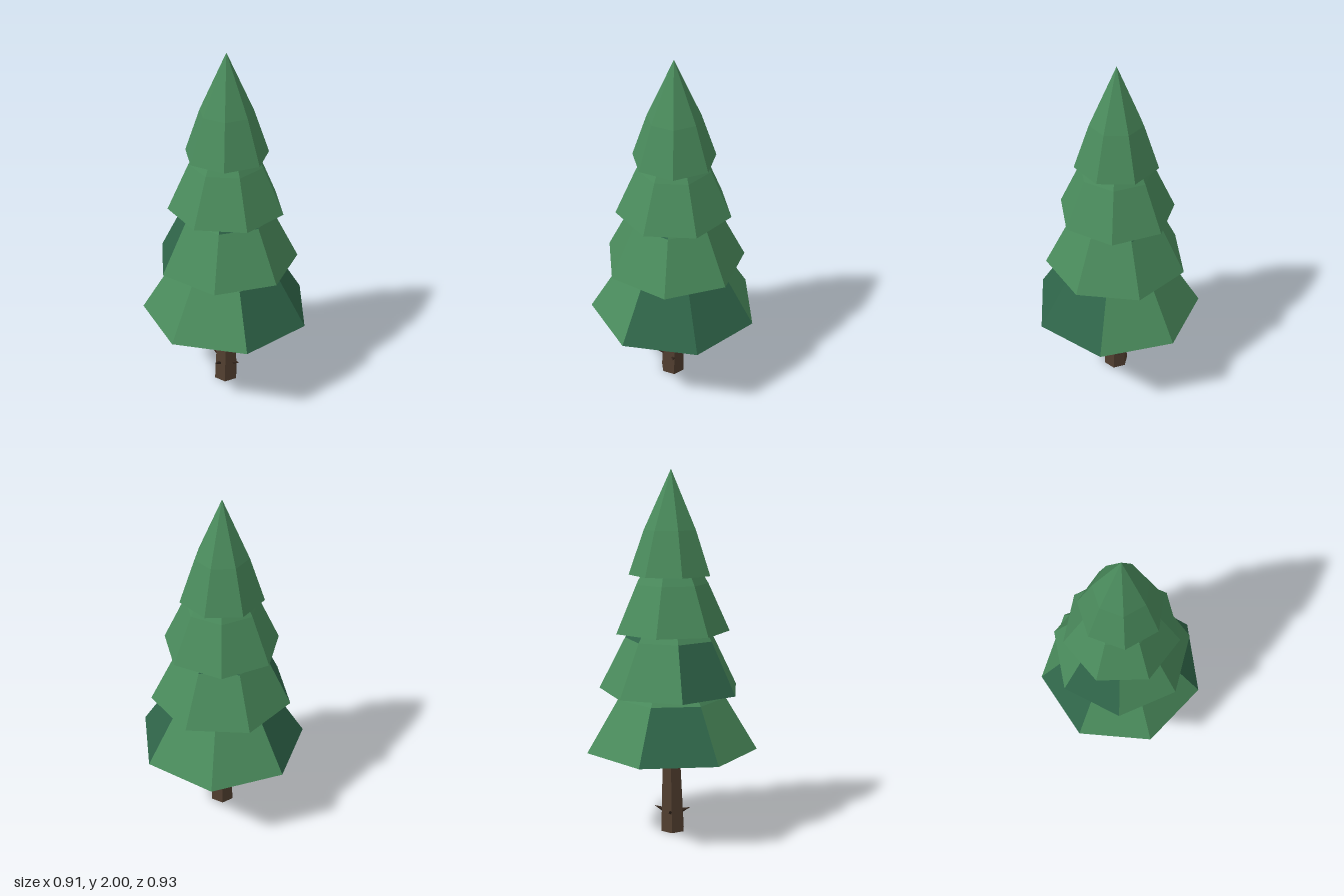
import * as THREE from 'three';

const SIDES = 7;
const STEP = (Math.PI * 2) / SIDES;

const material = (name, color) => {
  const m = new THREE.MeshStandardMaterial({ color, flatShading: true });
  m.name = name;
  return m;
};

// One tier of foliage: a bulged seven-sided cone with a recessed underside.
// darkLow and darkHigh list the sides painted dark in the lower and upper band.
function tierGeometry({ y, r, h, start, darkLow = [], darkHigh = [] }) {
  const profile = [
    [0, y + r * 0.16], [r * 0.32, y + r * 0.15],
    [r, y], [r * 0.635, y + h * 0.43], [0, y + h],
  ];
  const all = SIDES === 7 ? [0, 1, 2, 3, 4, 5, 6] : [];
  const darkSides = [all, all, darkLow, darkHigh];
  const faces = [[], []];
  const point = ([radius, height], side) => {
    const a = start + side * STEP;
    return [radius * Math.cos(a), height, radius * Math.sin(a)];
  };
  for (let band = 0; band < profile.length - 1; band++) {
    const low = profile[band], high = profile[band + 1];
    for (let i = 0; i < SIDES; i++) {
      const out = faces[darkSides[band].includes(i) ? 1 : 0];
      const a = point(low, i), b = point(low, i + 1);
      const c = point(high, i + 1), d = point(high, i);
      if (low[0] > 0) out.push(...b, ...a, ...d);
      if (high[0] > 0) out.push(...b, ...d, ...c);
    }
  }
  const geometry = new THREE.BufferGeometry();
  geometry.setAttribute('position',
    new THREE.Float32BufferAttribute([...faces[0], ...faces[1]], 3));
  geometry.addGroup(0, faces[0].length / 3, 0);
  geometry.addGroup(faces[0].length / 3, faces[1].length / 3, 1);
  geometry.computeVertexNormals();
  return geometry;
}

export function createModel() {
  const needle = material('needle green', 0x4a8b5c);
  const deepNeedle = material('deep needle green', 0x2f6549);
  const bark = material('bark brown', 0x523f30);
  const twigBark = material('dark twig brown', 0x35271d);

  const tree = new THREE.Group();
  tree.name = 'pineTree';
  const add = (name, geometry, mat, parent = tree) => {
    const mesh = new THREE.Mesh(geometry, mat);
    mesh.name = name;
    parent.add(mesh);
    return mesh;
  };

  // Foliage, each tier turned a little further than the one below
  const twist = 0.3935;
  [
    { name: 'bottomFoliage', y: 0.485, r: 0.477, h: 0.66, darkLow: [0, 1, 4] },
    { name: 'lowerFoliage', y: 0.81, r: 0.395, h: 0.66, darkLow: [3], darkHigh: [1, 5] },
    { name: 'upperFoliage', y: 1.135, r: 0.32, h: 0.6 },
    { name: 'topFoliage', y: 1.44, r: 0.228, h: 0.56 },
  ].forEach((tier, i) => {
    add(tier.name, tierGeometry({ ...tier, start: i * twist }), [needle, deepNeedle]);
  });

  // Tapered six-sided trunk with a slight lean
  const trunk = new THREE.CylinderGeometry(0.046, 0.071, 0.62, 6);
  trunk.rotateY(Math.PI / 6).translate(0, 0.31, 0);
  const pos = trunk.attributes.position;
  for (let i = 0; i < pos.count; i++) {
    const up = pos.getY(i) / 0.62;
    pos.setX(i, pos.getX(i) - 0.01 * (1 - up));
    pos.setZ(i, pos.getZ(i) + 0.005 * (1 - up));
  }
  trunk.computeVertexNormals();
  add('trunk', trunk, bark);

  // Four short broken twigs around the trunk
  const twigs = new THREE.Group();
  twigs.name = 'twigs';
  twigs.position.set(-0.008, 0.118, 0.004);
  tree.add(twigs);
  for (let i = 0; i < 4; i++) {
    const angle = -0.4 + (i * Math.PI) / 2;
    const dir = new THREE.Vector3(Math.cos(angle), 0.4, Math.sin(angle)).normalize();
    const twig = add('twig', new THREE.ConeGeometry(0.014, 0.06, 5), twigBark, twigs);
    twig.quaternion.setFromUnitVectors(new THREE.Vector3(0, 1, 0), dir);
    twig.position.set(Math.cos(angle) * 0.075, 0.006, Math.sin(angle) * 0.075);
  }

  tree.position.x = -0.025;
  const model = new THREE.Group();
  model.name = 'model';
  model.add(tree);
  return model;
}
